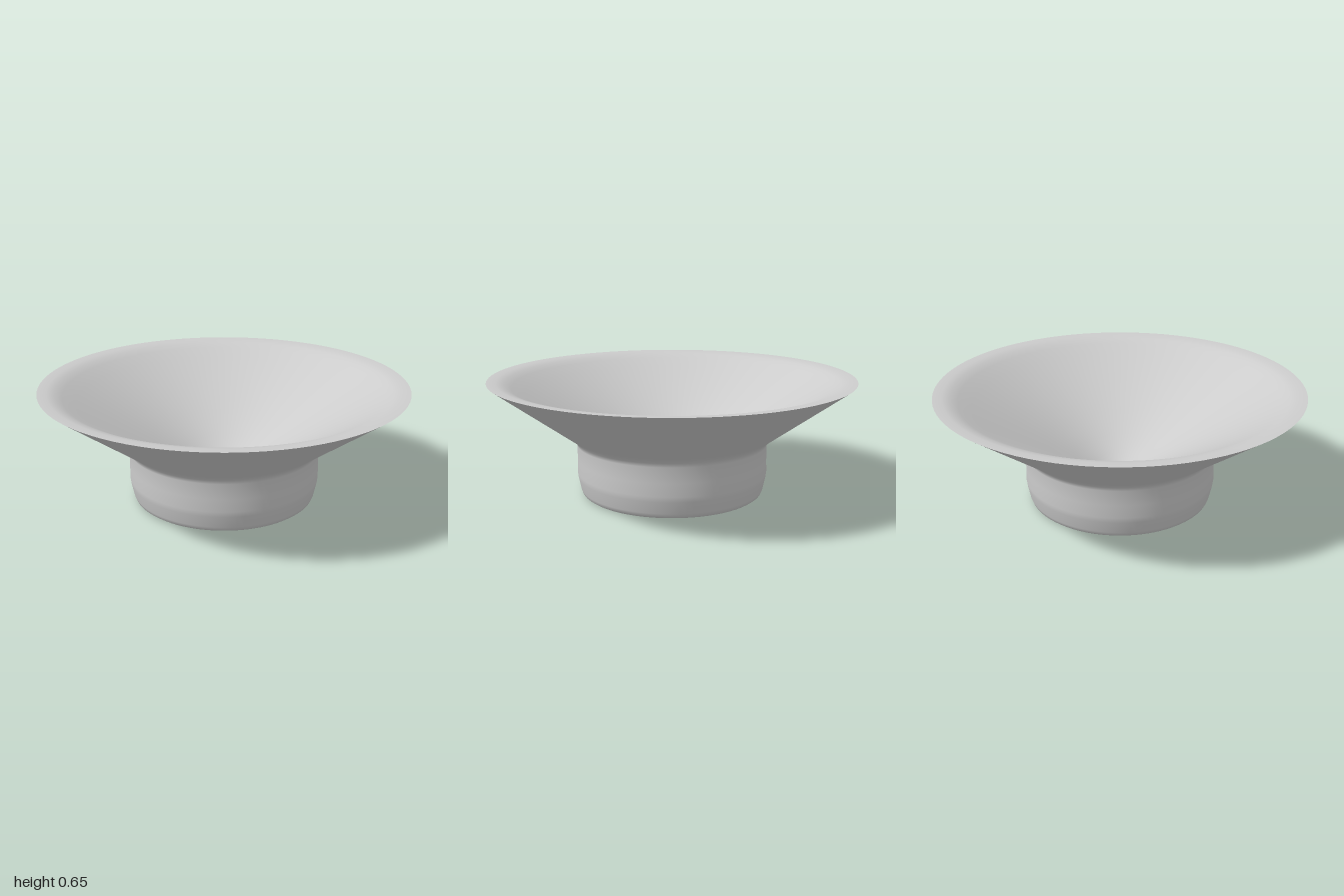
import * as THREE from 'three';

const SEGMENTS = 96;

// Revolve a profile of [radius, height] pairs around the y axis
function revolve(name, profile, material) {
  const points = profile.map(([r, y]) => new THREE.Vector2(r, y));
  const mesh = new THREE.Mesh(new THREE.LatheGeometry(points, SEGMENTS), material);
  mesh.name = name;
  return mesh;
}

export function createModel() {
  const material = new THREE.MeshStandardMaterial({ color: 0xcccccc });
  const model = new THREE.Group();
  model.name = 'flaredBowl';

  // Flat underside with a slightly eased edge
  model.add(revolve('underside', [[0, 0], [0.42, 0], [0.49, 0.006]], material));

  // Foot: tapered toe, upright wall, short cove and flared outer wall
  model.add(revolve('footAndFlare', [
    [0.49, 0.006], [0.502, 0.015], [0.51, 0.035], [0.524, 0.1],
    [0.528, 0.13], [0.526, 0.2], [0.526, 0.285], [0.535, 0.308],
    [0.56, 0.332], [0.6, 0.361], [1, 0.65],
  ], material));

  // Rolled lip leading into the conical hollow with a rounded centre
  model.add(revolve('lipAndHollow', [
    [1, 0.65], [0.95, 0.648], [0.91, 0.638], [0.87, 0.618],
    [0.8, 0.577], [0.4, 0.343], [0.25, 0.255], [0.14, 0.195],
    [0.06, 0.163], [0, 0.155],
  ], material));

  return model;
}
